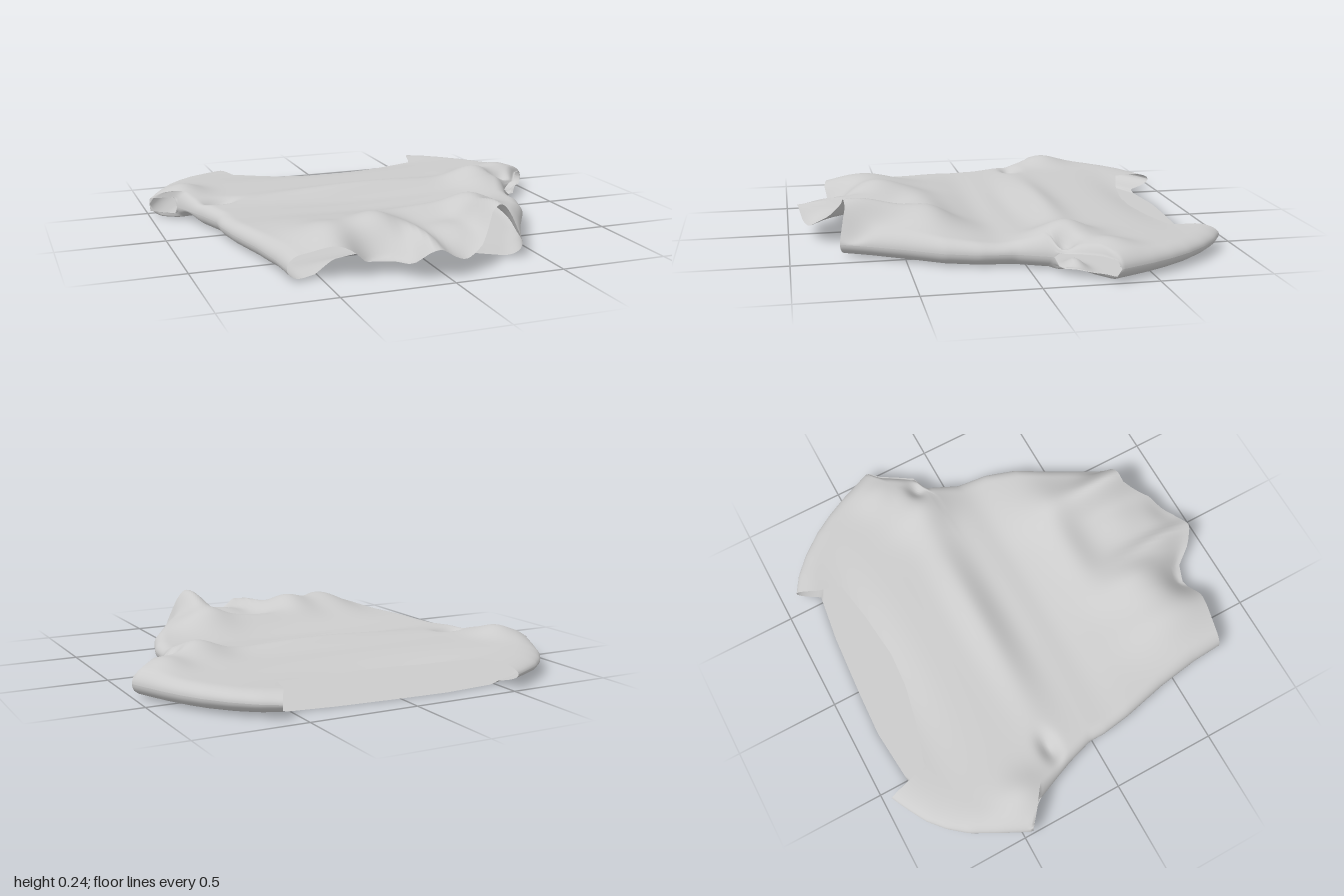
import * as THREE from 'three';

const mat = new THREE.MeshStandardMaterial({ color: 0xcccccc, side: THREE.DoubleSide });

// Piecewise linear lookup through [position, value] pairs
function along(pts, t) {
  let i = 1;
  while (i < pts.length - 1 && t > pts[i][0]) i++;
  const [a, va] = pts[i - 1], [b, vb] = pts[i];
  return va + (vb - va) * THREE.MathUtils.clamp((t - a) / (b - a), 0, 1);
}

// Side outlines, as [z, x] from shoulder tip over sleeve to hem
const rightSide = [[-0.96, -0.55], [-0.92, -0.63], [-0.87, -0.72], [-0.8, -0.8], [-0.72, -0.865], [-0.6, -0.93], [-0.46, -1],
  [-0.37, -0.89], [-0.25, -0.84], [-0.15, -0.8], [-0.02, -0.76], [0.06, -0.76], [0.2, -0.74], [0.42, -0.69], [0.62, -0.66], [0.77, -0.65]];
const leftSide = [[-0.92, 0.58], [-0.87, 0.66], [-0.79, 0.745], [-0.69, 0.825], [-0.6, 0.88], [-0.5, 0.93], [-0.33, 1],
  [-0.28, 0.94], [-0.13, 0.85], [-0.1, 0.78], [0.05, 0.715], [0.2, 0.7], [0.35, 0.65], [0.5, 0.56], [0.65, 0.48], [0.78, 0.42]];

// Neck and hem edges, as [x, z]
const frontNeck = [[-0.55, -0.96], [-0.5, -0.76], [-0.3, -0.7], [-0.1, -0.66], [0.07, -0.65], [0.3, -0.675], [0.5, -0.71], [0.53, -0.83], [0.58, -0.92]];
const backNeck = [[-0.55, -0.96], [-0.52, -0.855], [-0.23, -0.88], [0, -0.87], [0.3, -0.85], [0.53, -0.82], [0.58, -0.92]];
const frontHem = [[-0.65, 0.77], [-0.4, 0.81], [-0.28, 0.79], [-0.2, 0.82], [-0.13, 0.91], [-0.06, 0.955], [0.05, 0.93], [0.18, 0.87], [0.28, 0.76], [0.36, 0.75], [0.42, 0.78]];
const backHem = [[-0.65, 0.77], [-0.52, 0.74], [-0.4, 0.64], [0.13, 0.65], [0.3, 0.72], [0.42, 0.78]];

// Cloth folds of the upper layer: x, z, height, spread in x, spread in z
const folds = [
  // chest ridge, the trough before it, the waist and the sunken neck
  [0.05, -0.2, 0.035, 0.5, 0.08], [0, -0.05, -0.018, 0.5, 0.08], [0.1, 0.1, -0.022, 0.7, 0.1],
  [0, -0.72, -0.035, 0.5, 0.13],
  // sleeves and underarm dents
  [0.64, -0.17, 0.065, 0.12, 0.15], [0.77, -0.15, -0.05, 0.05, 0.04],
  [-0.83, -0.42, 0.045, 0.1, 0.12], [0.84, -0.32, 0.04, 0.1, 0.12], [-0.7, -0.21, -0.045, 0.07, 0.04],
  // ridges beside the raised flap
  [-0.18, 0.56, 0.09, 0.13, 0.18], [-0.42, 0.62, 0.075, 0.14, 0.24], [-0.27, 0.82, -0.1, 0.1, 0.11],
  [0.15, 0.36, 0.045, 0.3, 0.1], [0.32, 0.72, 0.13, 0.08, 0.24], [0.38, 0.42, 0.055, 0.14, 0.18],
  [0.14, 0.66, 0.03, 0.1, 0.14], [0.44, 0.74, -0.04, 0.04, 0.08],
  // wavy tip of the hem
  [-0.05, 0.8, 0.045, 0.045, 0.2], [0.1, 0.92, -0.045, 0.09, 0.08], [-0.16, 0.88, -0.04, 0.06, 0.08],
];

// Lifts of the lower layer: at the hem and under both arms
const lifts = [[-0.2, 0.67, 0.06, 0.33, 0.12], [0.78, -0.19, 0.05, 0.08, 0.05], [-0.8, -0.28, 0.05, 0.08, 0.06]];

const sum = (list, x, z) => list.reduce((h, [cx, cz, a, sx, sz]) =>
  h + a * Math.exp(-(((x - cx) / sx) ** 2) - (((z - cz) / sz) ** 2)), 0);

// Quarter-round roll towards the closed sides; sleeve openings stay lifted
function roll(u, z, width, radius) {
  const t = Math.min((Math.min(u, 1 - u) * width) / radius, 1);
  const r = Math.sqrt(1 - (1 - t) ** 2);
  const open = u < 0.5 ? z > -0.455 && z < -0.36 : z > -0.325 && z < -0.11;
  return open ? Math.max(r, 0.6) : r;
}

// Sheet spanning the outlines between a neck edge and a hem edge
function sheet(name, neck, hem, radius, height) {
  const cols = 80, rows = 110, pos = [], index = [];
  for (let j = 0; j <= rows; j++) {
    const v = j / rows;
    const zl = -0.96 + 1.73 * v, zr = -0.92 + 1.7 * v;
    const xl = along(rightSide, zl), xr = along(leftSide, zr);
    for (let i = 0; i <= cols; i++) {
      const u = 0.5 - 0.5 * Math.cos((Math.PI * i) / cols);
      const x = xl + (xr - xl) * u;
      // Straight rows that bend into the neck and hem curves at the ends
      const neckBend = along(neck, -0.55 + 1.13 * u) - (-0.96 + 0.04 * u);
      const hemBend = along(hem, -0.65 + 1.07 * u) - (0.77 + 0.01 * u);
      const z = zl + (zr - zl) * u + neckBend * (1 - v) ** 3 + hemBend * v ** 3;
      pos.push(x, height(x, z, roll(u, z, xr - xl, radius)), z);
      if (i < cols && j < rows) {
        const a = j * (cols + 1) + i, b = a + cols + 1;
        index.push(a, b, a + 1, a + 1, b, b + 1);
      }
    }
  }
  const g = new THREE.BufferGeometry();
  g.setAttribute('position', new THREE.Float32BufferAttribute(pos, 3));
  g.setIndex(index);
  g.computeVertexNormals();
  const mesh = new THREE.Mesh(g, mat);
  mesh.name = name;
  return mesh;
}

export function createModel() {
  const group = new THREE.Group();
  group.name = 'foldedShirt';
  const seam = 0.06;

  // Upper layer, draped with folds
  group.add(sheet('frontPanel', frontNeck, frontHem, 0.06, (x, z, r) =>
    seam + (Math.max(0.11 + sum(folds, x, z), 0.06) - seam) * r));

  // Lower layer, flat on the ground with a lifted hem
  group.add(sheet('backPanel', backNeck, backHem, 0.08, (x, z, r) =>
    seam * (1 - r) + sum(lifts, x, z) * r));

  return group;
}
